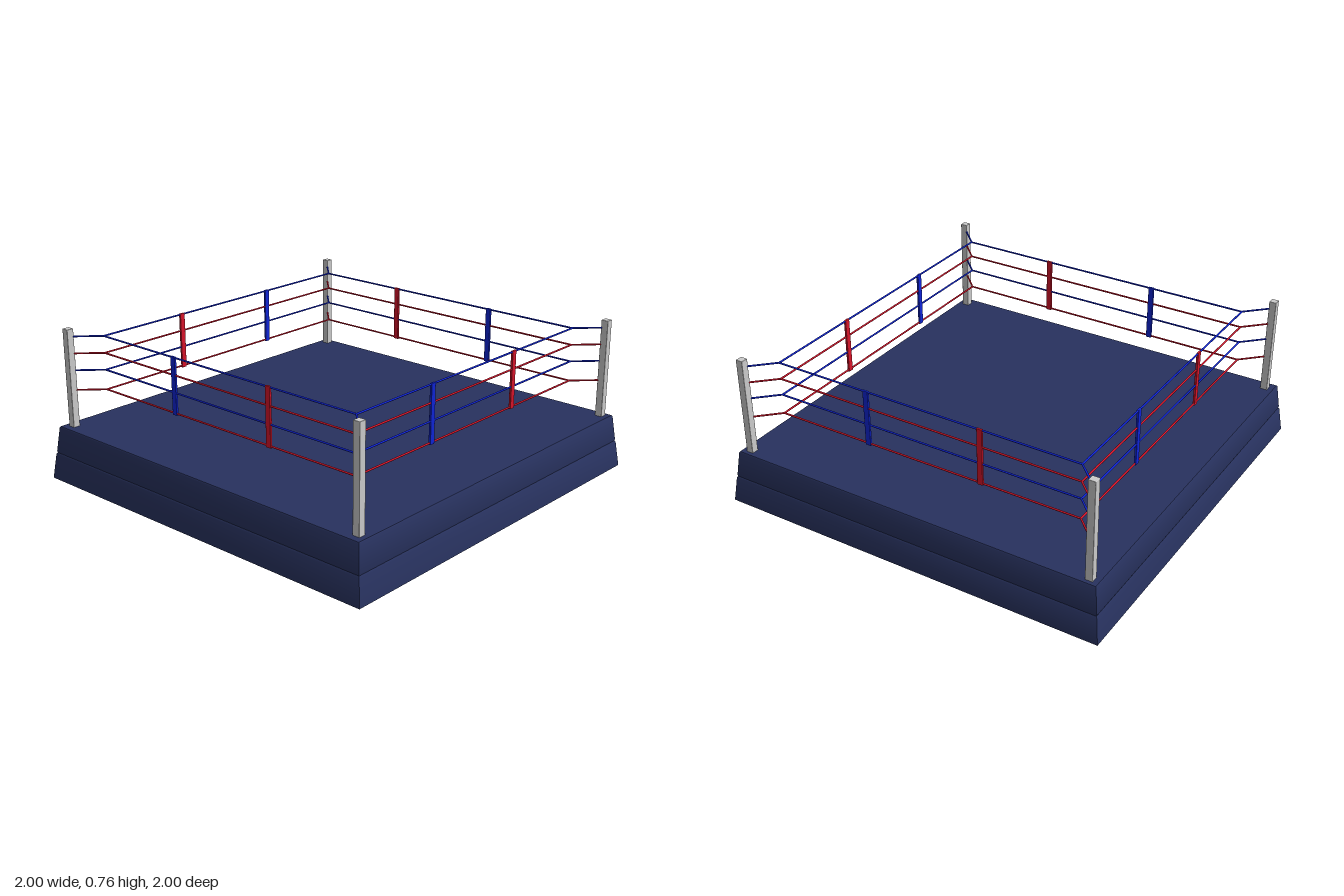
import * as THREE from 'three';
import { RoundedBoxGeometry } from 'three/addons/geometries/RoundedBoxGeometry.js';
import { toCreasedNormals } from 'three/addons/utils/BufferGeometryUtils.js';

const material = (color) => new THREE.MeshStandardMaterial({ color });
const navy = material(0x28325f);
const grey = material(0xcccccc);
const blue = material(0x0f24d8);
const red = material(0xd8142a);

function add(parent, name, geometry, mat, x = 0, y = 0, z = 0) {
  const mesh = new THREE.Mesh(geometry, mat);
  mesh.name = name;
  mesh.position.set(x, y, z);
  parent.add(mesh);
  return mesh;
}

// Square rings stacked up a profile of [half width, height], closed at both ends
function squareLoft(profile) {
  const points = profile.map(([r, y]) => new THREE.Vector2(r * Math.SQRT2, y));
  const geometry = new THREE.LatheGeometry(points, 4, Math.PI / 4);
  return toCreasedNormals(geometry, 0.5);
}

// Straight rope between two points
function rope(parent, name, from, to, mat) {
  const length = from.distanceTo(to);
  const mesh = add(parent, name, new THREE.CylinderGeometry(0.0045, 0.0045, length, 8), mat);
  mesh.position.copy(from).lerp(to, 0.5);
  mesh.quaternion.setFromUnitVectors(
    new THREE.Vector3(0, 1, 0), to.clone().sub(from).normalize());
}

export function createModel() {
  const model = new THREE.Group();
  model.name = 'boxingRing';

  // Sloping platform with a shallow seam halfway up its skirt
  add(model, 'platform', squareLoft([
    [0, 0], [1, 0], [0.984, 0.126], [0.979, 0.133], [0.981, 0.14],
    [0.966, 0.264], [0.962, 0.27], [0, 0.27],
  ]), navy);

  const enclosure = new THREE.Group();
  enclosure.name = 'enclosure';
  enclosure.position.x = 0.007;
  model.add(enclosure);

  const postAt = 0.918, ropeAt = 0.8;
  const ropeHeights = [0.725, 0.64, 0.555, 0.455];

  // Each side carries one post, four ropes, four corner ties and two spacers
  for (let i = 0; i < 4; i++) {
    const side = new THREE.Group();
    side.name = 'side' + (i + 1);
    side.rotation.y = i * Math.PI / 2;
    enclosure.add(side);

    add(side, 'cornerPost', new RoundedBoxGeometry(0.037, 0.505, 0.037, 1, 0.003),
      grey, postAt, 0.5125, postAt);

    ropeHeights.forEach((y, k) => {
      const mat = k % 2 ? red : blue;
      const corner = new THREE.Vector3(ropeAt, y, ropeAt);
      rope(side, 'rope', new THREE.Vector3(-ropeAt, y, ropeAt), corner, mat);
      rope(side, 'cornerTie', corner, new THREE.Vector3(postAt, y, postAt), mat);
    });

    const spacer = new RoundedBoxGeometry(0.029, 0.285, 0.012, 1, 0.003);
    add(side, 'blueSpacer', spacer, blue, -0.302, 0.588, ropeAt);
    add(side, 'redSpacer', spacer, red, 0.302, 0.588, ropeAt);
  }
  return model;
}
